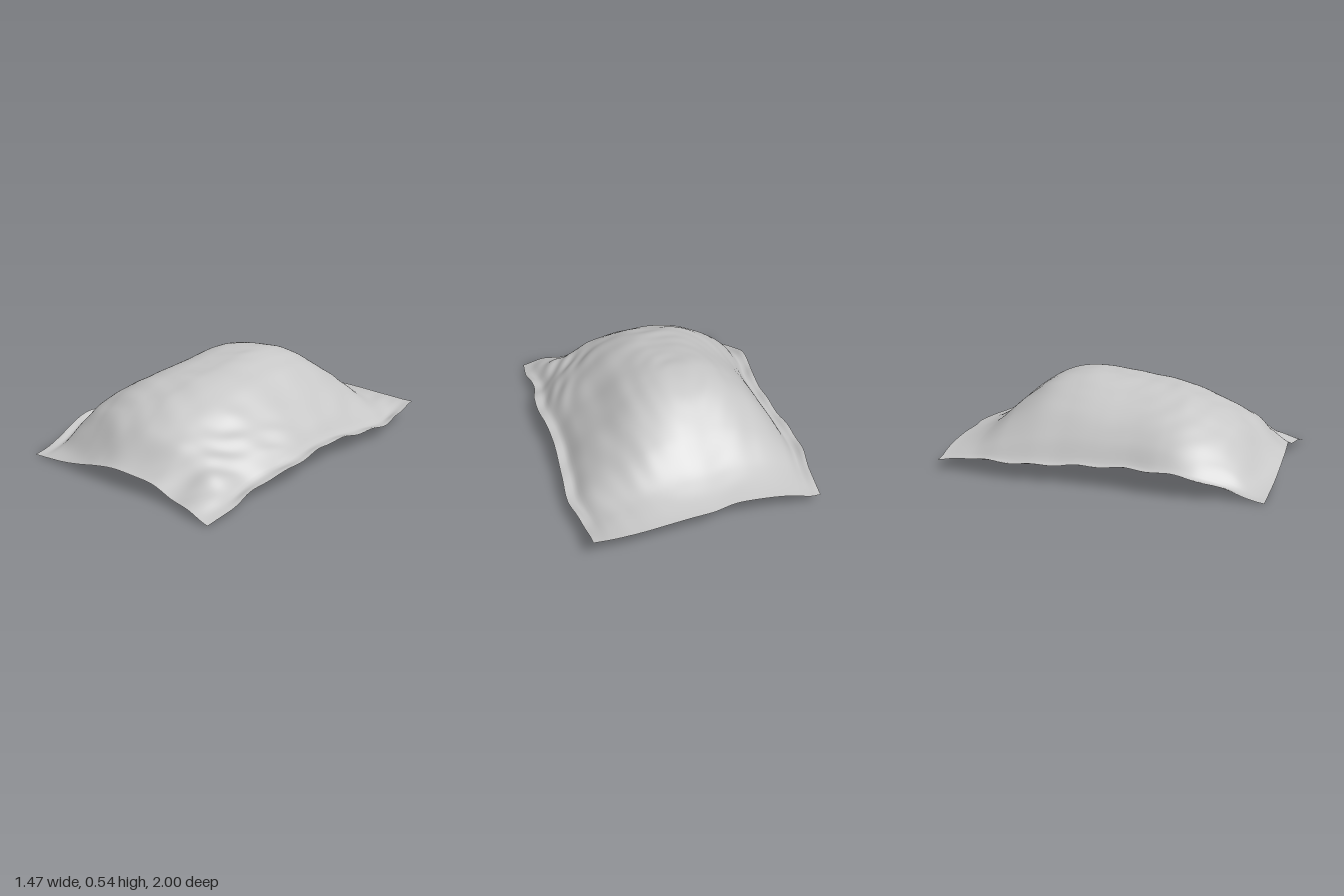
import * as THREE from 'three';

const { lerp, smoothstep } = THREE.MathUtils;

// Smooth interpolation of evenly spaced values, t in 0..1
function sample(values, t) {
  const n = values.length - 1;
  const f = Math.min(Math.max(t, 0), 1) * n;
  const i = Math.min(Math.floor(f), n - 1);
  const k = f - i;
  const at = (j) => values[Math.min(Math.max(j, 0), n)];
  const [a, b, c, d] = [at(i - 1), at(i), at(i + 1), at(i + 2)];
  return b + 0.5 * k * (c - a + k * (2 * a - 5 * b + 4 * c - d + k * (3 * (b - c) + d - a)));
}

// Outline of the cloth: side edges run back to front, end edges run right (-x) to left (+x)
const rightX = [-0.62, -0.64, -0.68, -0.69, -0.68, -0.68, -0.69, -0.725, -0.73, -0.675, -0.665];
const leftX = [0.68, 0.70, 0.73, 0.72, 0.71, 0.71, 0.73, 0.73, 0.70, 0.72, 0.71];
const backZ = [-0.925, -0.935, -0.94, -0.945, -0.95, -0.98, -0.988, -0.995, -1, -1, -0.995];
const frontZ = [0.975, 0.977, 0.98, 0.983, 0.985, 0.983, 0.972, 0.962, 0.965, 0.99, 1];

// Heights from back to front
const rightY = [0.05, 0.08, 0.09, 0.09, 0.10, 0.11, 0.12, 0.125, 0.11, 0.05, 0];
const leftY = [0.12, 0.09, 0.08, 0.09, 0.11, 0.125, 0.12, 0.10, 0.07, 0.04, 0.005];
const ridgeY = [0.14, 0.21, 0.37, 0.495, 0.54, 0.525, 0.495, 0.46, 0.39, 0.28, 0.105];

// Arch across the mound, and the shallower arch of the front hem
const arch = [0, 0.04, 0.28, 0.49, 0.65, 0.77, 0.88, 0.95, 0.985, 0.995, 1,
  1, 0.965, 0.9, 0.815, 0.69, 0.54, 0.4, 0.24, 0.07, 0];
const hemArch = [0, 0.1, 0.25, 0.5, 0.8, 1, 0.95, 0.82, 0.42, 0.37, 0];

// Soft, irregular folds that run around the mound, stronger on the front and left slopes
function folds(s, t, x, z) {
  const inner = Math.min(1, 12 * s * (1 - s)) * Math.min(1, 14 * t * (1 - t));
  const ring = Math.hypot(x * 1.35, z + 0.2);
  const strength = 0.0012 + 0.003 * smoothstep(z, 0, 0.8) + 0.0025 * smoothstep(x, 0.1, 0.6);
  const wave = Math.sin(ring * 36 + 2.2 * Math.sin(x * 8 + z * 4))
    * Math.sin(x * 9 - z * 6 + 1)
    + 0.7 * Math.sin(z * 23 + x * 6 + 2 * Math.sin(x * 6));
  return inner * strength * wave;
}

// Shallow valley and turned-up, rippled lip along the two long edges
function lip(s, t) {
  const u = Math.abs(2 * s - 1);
  const ends = Math.min(1, 8 * t * (1 - t));
  const valley = 0.016 * Math.exp(-(((u - 0.92) / 0.045) ** 2));
  const ripple = smoothstep(u, 0.88, 1) * (0.004 + 0.006 * Math.sin(t * 44 + s * 2));
  return ends * (ripple - valley);
}

export function createModel() {
  const cloth = new THREE.MeshStandardMaterial({ color: 0xc6c6c6, side: THREE.DoubleSide });
  cloth.name = 'greyCloth';

  // Draped sheet, open underneath
  const sheet = new THREE.PlaneGeometry(1, 1, 96, 128).rotateX(-Math.PI / 2);
  const pos = sheet.attributes.position;
  for (let i = 0; i < pos.count; i++) {
    const s = pos.getX(i) + 0.5;
    const t = pos.getZ(i) + 0.5;
    const x = lerp(sample(rightX, t), sample(leftX, t), s);
    const z = lerp(sample(backZ, s), sample(frontZ, s), t);
    const base = lerp(sample(rightY, t), sample(leftY, t), s);
    const rise = lerp(sample(arch, s), sample(hemArch, s), smoothstep(t, 0.86, 1));
    const y = base + (sample(ridgeY, t) - base) * rise;
    pos.setXYZ(i, x, Math.max(0, y + folds(s, t, x, z) + lip(s, t)), z);
  }
  sheet.computeVertexNormals();

  const mesh = new THREE.Mesh(sheet, cloth);
  mesh.name = 'drapedCloth';
  const group = new THREE.Group();
  group.name = 'clothMound';
  group.add(mesh);
  return group;
}
